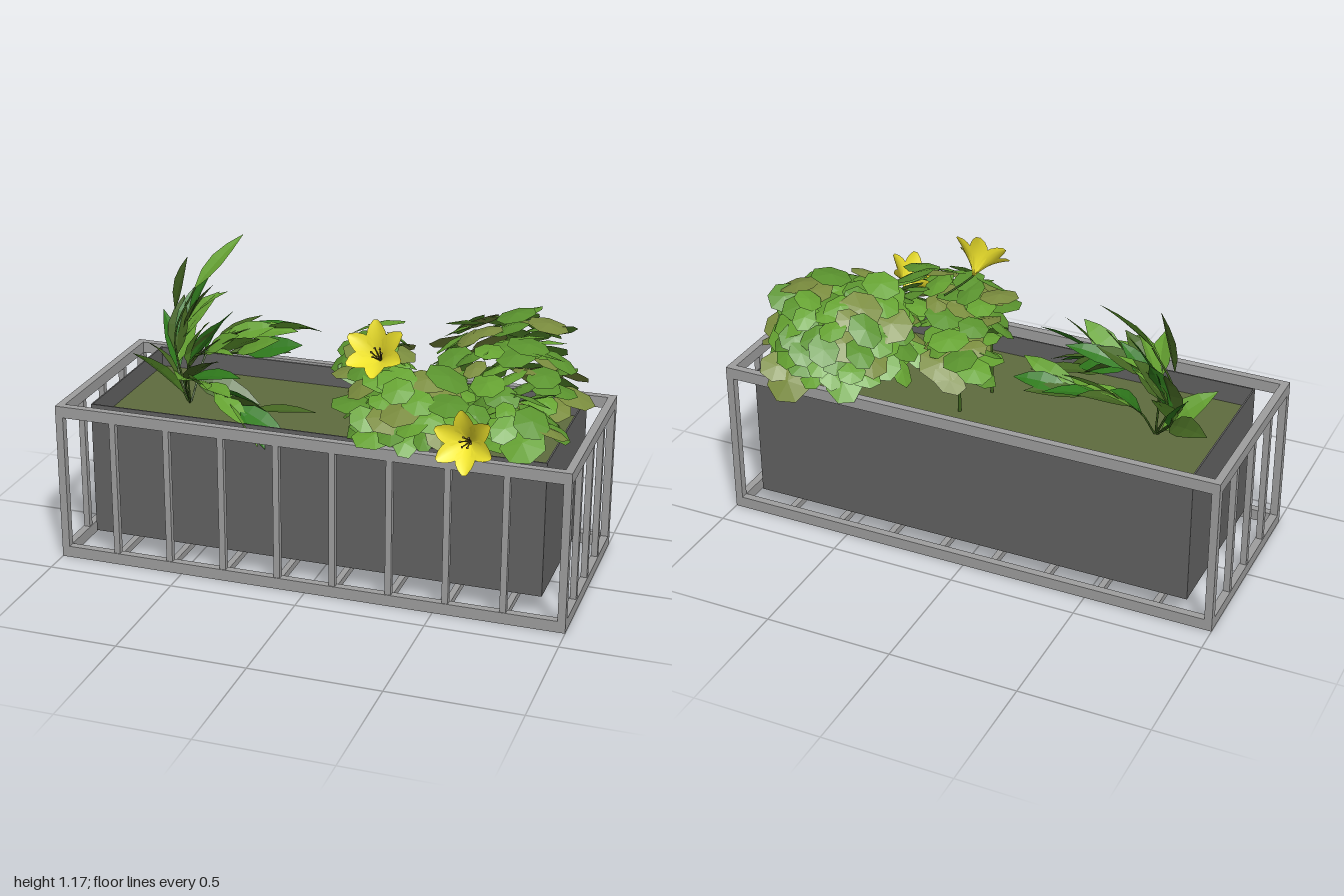
import * as THREE from 'three';
import { mergeGeometries } from 'three/addons/utils/BufferGeometryUtils.js';

const V = (x, y, z) => new THREE.Vector3(x, y, z);
const UP = V(0, 1, 0);

let seed = 7;
const rand = (a = 0, b = 1) => {
  seed = (seed * 16807) % 2147483647;
  return a + (b - a) * (seed / 2147483647);
};

const material = (color, flatShading = false, side = THREE.FrontSide) =>
  new THREE.MeshStandardMaterial({ color, flatShading, side });
const FRAME = material(0x9e9e9e);
const PLANTER = material(0x626262);
const SOIL = material(0x5f6b3e);
const leafMaterial = (c) => material(c, true, THREE.DoubleSide);
const BLADES = [0x66a332, 0x2f7a1c, 0x456622].map(leafMaterial);
const ROUNDS = [0x66a332, 0x5a932e, 0x7a8c3e].map(leafMaterial);
const STEM = material(0x3f641f);
const YELLOW = material(0xf0e42c, false, THREE.DoubleSide);
const STAMEN = material(0x6a5a18);

function mesh(parent, name, geometry, mat) {
  const m = new THREE.Mesh(geometry, mat);
  m.name = name;
  parent.add(m);
  return m;
}

// Box given by its extents on each axis
function block(parent, name, mat, [x0, x1], [y0, y1], [z0, z1]) {
  const g = new THREE.BoxGeometry(x1 - x0, y1 - y0, z1 - z0);
  g.translate((x0 + x1) / 2, (y0 + y1) / 2, (z0 + z1) / 2);
  return mesh(parent, name, g, mat);
}

// Leaf or petal growing along +y and curling toward +z, cupped across its columns
function blade(length, widths, startAngle, bend, cup, columns = [-1, 0, 1]) {
  const pos = [], idx = [], n = widths.length - 1, c = columns.length;
  let y = 0, z = 0;
  widths.forEach((w, i) => {
    const a = startAngle + bend * (i / n);
    if (i) {
      y += Math.cos(a) * length / n;
      z += Math.sin(a) * length / n;
    }
    for (const s of columns) {
      const lift = s * s * w * cup;
      pos.push(s * w, y + lift * Math.sin(a), z - lift * Math.cos(a));
    }
    if (i) for (let k = 0; k < c - 1; k++) {
      const p = (i - 1) * c + k, q = p + c;
      idx.push(p, p + 1, q + 1, p, q + 1, q);
    }
  });
  const g = new THREE.BufferGeometry();
  g.setAttribute('position', new THREE.Float32BufferAttribute(pos, 3));
  g.setIndex(idx);
  g.computeVertexNormals();
  return g;
}

const longLeaf = (length, w, bend) =>
  blade(length, [0.004, w * 0.85, w, w * 0.65, 0.001], -0.1, bend, 0.2);

// Turn +y to the given direction, with +z hanging down, then move into place
function place(g, at, direction, roll = 0) {
  const y = direction.clone().normalize();
  const x = new THREE.Vector3().crossVectors(UP, y);
  if (x.lengthSq() < 1e-4) x.set(1, 0, 0);
  x.normalize();
  const z = new THREE.Vector3().crossVectors(x, y);
  return g.rotateY(roll).applyMatrix4(new THREE.Matrix4().makeBasis(x, y, z).setPosition(at));
}

// Adds one merged mesh per shade of leaf
function addLeaves(parent, name, bins, mats) {
  bins.forEach((b, i) => mesh(parent, name, mergeGeometries(b), mats[i]));
}

function buildFrame() {
  const g = new THREE.Group();
  g.name = 'frame';
  const t = 0.03;
  for (const [y0, y1] of [[0, 0.045], [0.585, 0.63]]) {
    for (const s of [-1, 1]) {
      const z = s * (0.395 - t / 2), x = s * (1 - t / 2);
      block(g, 'longRail', FRAME, [-1, 1], [y0, y1], [z - t / 2, z + t / 2]);
      block(g, 'endRail', FRAME, [x - t / 2, x + t / 2], [y0, y1], [-0.365, 0.365]);
    }
  }
  for (const sx of [-1, 1]) {
    const x = sx * 0.985;
    for (const z of [-0.38, 0.38])
      block(g, 'cornerPost', FRAME, [x - 0.015, x + 0.015], [0.045, 0.585], [z - 0.015, z + 0.015]);
    for (const z of [-0.185, 0.005, 0.193])
      block(g, 'endBar', FRAME, [x - 0.012, x + 0.012], [0.045, 0.585], [z - 0.012, z + 0.012]);
  }
  for (let i = 0; i < 8; i++) {
    const x = -0.768 + i * 0.219;
    block(g, 'frontBar', FRAME, [x - 0.012, x + 0.012], [0.045, 0.585], [0.368, 0.392]);
    block(g, 'floorSlat', FRAME, [x - 0.012, x + 0.012], [0.01, 0.035], [-0.365, 0.365]);
  }
  return g;
}

function buildPlanter() {
  const g = new THREE.Group();
  g.name = 'planter';
  const X = 0.89, F = 0.31, B = -0.365, t = 0.006, h = [0.09, 0.62];
  block(g, 'frontWall', PLANTER, [-X, X], h, [F - t, F]);
  block(g, 'backWall', PLANTER, [-X, X], h, [B, B + t]);
  block(g, 'leftWall', PLANTER, [X - t, X], h, [B + t, F - t]);
  block(g, 'rightWall', PLANTER, [-X, -X + t], h, [B + t, F - t]);
  block(g, 'base', PLANTER, [-X + t, X - t], [0.09, 0.1], [B + t, F - t]);
  block(g, 'soil', SOIL, [-X + t, X - t], [0.1, 0.54], [B + t, F - t]);
  return g;
}

// Arching stems lined with long pointed leaves
function buildBladePlant() {
  const g = new THREE.Group();
  g.name = 'longLeafPlant';
  const root = V(-0.62, 0.53, -0.02), bins = [[], [], []];
  // Middle, end, leaf count, sideways spread, forward lean, upward lift
  const stems = [
    [V(-0.72, 0.68, -0.13), V(-0.69, 0.82, -0.18), 9, 0.2, 0.3, 0.3],
    [V(-0.58, 0.73, -0.18), V(-0.36, 0.78, -0.25), 9, 0.35, 0.3, 0.3],
    [V(-0.6, 0.73, 0), V(-0.37, 0.79, 0.02), 11, 0.4, 0.25, 0.35],
    [V(-0.56, 0.7, 0.13), V(-0.33, 0.65, 0.22), 11, 0.4, 0.2, 0.05],
    [V(-0.66, 0.58, -0.04), V(-0.69, 0.62, -0.07), 2, 0.5, 0, 0],
  ];
  for (const [mid, end, count, spread, lean, lift] of stems) {
    const curve = new THREE.CatmullRomCurve3([root, mid, end]);
    mesh(g, 'stem', new THREE.TubeGeometry(curve, 12, 0.004, 5), STEM);
    for (let i = 0; i < count; i++) {
      const t = 0.35 + 0.65 * (i / (count - 1));
      const dir = curve.getTangent(t);
      const side = new THREE.Vector3().crossVectors(dir, UP).normalize();
      const s = i === count - 1 ? 0 : (i % 2 ? spread : -spread);
      dir.addScaledVector(side, s).add(V(lean, lift + rand(-0.35, 0.35), 0));
      const leaf = longLeaf(rand(0.2, 0.27), rand(0.038, 0.05), rand(0.2, 0.6));
      bins[[0, 1, 0, 2][(i + count) % 4]].push(place(leaf, curve.getPoint(t), dir, rand(-0.9, 0.9)));
    }
  }
  // Tall shoot at the back
  const shoot = new THREE.CatmullRomCurve3([root, V(-0.71, 0.78, -0.1), V(-0.64, 0.97, -0.15)]);
  mesh(g, 'stem', new THREE.TubeGeometry(shoot, 12, 0.004, 5), STEM);
  bins[0].push(place(longLeaf(0.28, 0.036, 0.2), V(-0.64, 0.97, -0.15), V(0.17, 0.22, -0.13), 0.4));
  bins[2].push(place(longLeaf(0.23, 0.036, 0.2), V(-0.72, 0.88, -0.13), V(0.06, 0.23, 0.01), 1));
  // Low leaves at the front
  bins[1].push(place(longLeaf(0.18, 0.036, 0.3), V(-0.3, 0.64, 0.25), V(0.13, -0.09, 0.08)));
  bins[2].push(place(longLeaf(0.25, 0.042, 0.2), V(-0.29, 0.62, 0.18), V(0.25, 0, -0.08)));
  addLeaves(g, 'longLeaves', bins, BLADES);
  return g;
}

// Loose layered clumps of broad, faceted round leaves
function buildRoundPlant() {
  const g = new THREE.Group();
  g.name = 'roundLeafPlant';
  const bins = [[], [], []];
  // Centre, size, leaf count, direction the leaves face
  const clumps = [
    [V(0.11, 0.73, -0.18), V(0.11, 0.17, 0.11), 18, V(-0.1, 0.8, -0.1)],
    [V(0.06, 0.78, 0), V(0.06, 0.07, 0.06), 4, V(0, 0.8, 0.1)],
    [V(0.6, 0.7, -0.17), V(0.27, 0.3, 0.3), 100, V(-0.25, 0.8, -0.2)],
    [V(0.38, 0.68, 0.26), V(0.24, 0.2, 0.18), 56, V(0.05, 0.8, 0.2)],
    [V(0.76, 0.67, 0.17), V(0.13, 0.11, 0.15), 15, V(0.1, 0.8, 0.1)],
    [V(0.22, 0.82, 0.22), V(0.1, 0.07, 0.08), 8, V(0, 0.8, 0.1)],
  ];
  const soilY = 0.54;
  for (const [centre, size, count, facing] of clumps) {
    const stalk = new THREE.CylinderGeometry(0.005, 0.007, centre.y - soilY + 0.02, 5);
    mesh(g, 'stalk', stalk, STEM).position.set(centre.x, (centre.y + soilY) / 2, Math.min(centre.z, 0.24));
    for (let i = 0; i < count; i++) {
      const up = 1 - 1.15 * (i + 0.5) / count, a = i * 2.39996;
      const r = Math.pow(1 - up * up, 0.4);
      const out = V(r * Math.cos(a), up, r * Math.sin(a));
      const at = out.clone().multiply(size).multiplyScalar(rand(0.72, 1.05)).add(centre);
      at.y = Math.max(at.y, 0.62);
      const normal = out.multiplyScalar(0.4).add(facing).add(V(rand(-0.4, 0.4), 0, rand(-0.4, 0.4)));
      // Shallow cone with a slightly stretched, angular outline
      const radius = rand(0.055, 0.09);
      const leaf = new THREE.ConeGeometry(radius, radius * 0.15, 7, 1, true);
      leaf.scale(1, 1, rand(0.7, 1));
      bins[[0, 1, 0, 2, 1][Math.floor(rand(0, 5))]].push(place(leaf, at, normal, rand(0, 6.28)));
    }
  }
  addLeaves(g, 'roundLeaves', bins, ROUNDS);
  return g;
}

// Six broad curled petals round a cluster of stamens
function buildFlower(at, axis) {
  const g = new THREE.Group();
  g.name = 'flower';
  const widths = [0.006, 0.012, 0.021, 0.031, 0.037, 0.038, 0.034, 0.025, 0.008];
  const petals = [], stamens = [];
  for (let i = 0; i < 6; i++) {
    petals.push(blade(0.165, widths, 0.45, 0.6, 0.3, [-1, -0.5, 0, 0.5, 1]).rotateY(i * Math.PI / 3));
    const rod = new THREE.CylinderGeometry(0.0025, 0.0025, 0.08, 5).translate(0, 0.04, 0);
    const tip = new THREE.SphereGeometry(0.005, 6, 4).translate(0, 0.08, 0);
    stamens.push(mergeGeometries([rod, tip]).rotateX(0.25).rotateY(i * Math.PI / 3 + 0.5));
  }
  mesh(g, 'petals', place(mergeGeometries(petals), at, axis, 0.15), YELLOW);
  mesh(g, 'stamens', place(mergeGeometries(stamens), at, axis), STAMEN);
  const stem = new THREE.CatmullRomCurve3([at, V(at.x, at.y + 0.01, at.z - 0.1), V(at.x + 0.03, at.y, at.z - 0.2)]);
  mesh(g, 'flowerStem', new THREE.TubeGeometry(stem, 10, 0.004, 6), STEM);
  return g;
}

export function createModel() {
  const model = new THREE.Group();
  model.name = 'flowerPlanter';
  model.add(
    buildFrame(), buildPlanter(), buildBladePlant(), buildRoundPlant(),
    buildFlower(V(0.24, 0.9, 0.22), V(0, 0.65, 0.75)),
    buildFlower(V(0.62, 0.69, 0.36), V(0, 0.3, 0.95)),
  );
  return model;
}
